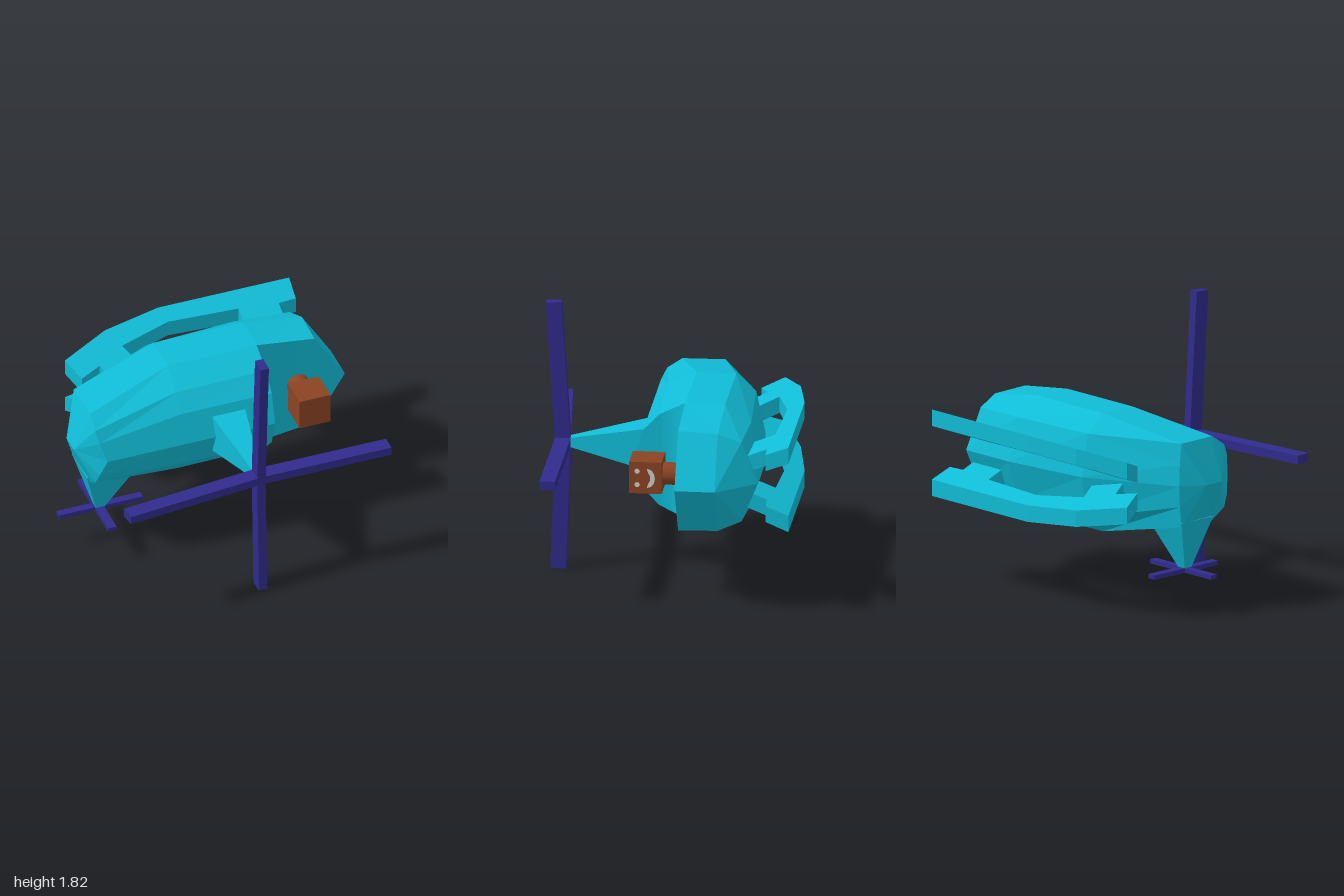
import * as THREE from 'three';

const MID = 0.87; // height of the symmetry plane

export function createModel() {
  const model = new THREE.Group();
  const material = (name, color) => {
    const m = new THREE.MeshStandardMaterial({ color });
    m.name = name;
    return m;
  };
  const teal = material('teal', 0x10bcd6);
  const navy = material('navy', 0x2f2b8c);
  const brown = material('brown', 0x8b4423);
  const pale = material('pale grey', 0xd2d0cc);

  const add = (name, geometry, mat, x = 0, y = 0, z = 0, parent = model) => {
    const mesh = new THREE.Mesh(geometry, mat);
    mesh.name = name;
    mesh.position.set(x, y, z);
    parent.add(mesh);
    return mesh;
  };

  // Flat-shaded skin between neighbouring cross-sections
  const loft = (rings, closed) => {
    const pos = [];
    const tri = (a, b, c) => {
      if (new THREE.Triangle(a, b, c).getArea() > 1e-6) pos.push(...a, ...b, ...c);
    };
    for (let i = 0; i < rings.length - 1; i++) {
      const n = rings[i].length;
      for (let j = 0; j < (closed ? n : n - 1); j++) {
        const k = (j + 1) % n;
        const a = rings[i][j], b = rings[i + 1][j], c = rings[i][k], d = rings[i + 1][k];
        tri(a, b, d);
        tri(a, d, c);
      }
    }
    const g = new THREE.BufferGeometry();
    g.setAttribute('position', new THREE.Float32BufferAttribute(pos, 3));
    g.computeVertexNormals();
    return g;
  };
  const point = ([x, y, z], s = 1) => new THREE.Vector3(x, MID + s * y, z);

  // Half sections [x, half height, z], running from the rotor side to the skid side
  const tail = [0.01, 0.01, 0.01, 0.01, -0.12, -0.12, -0.12].map((z) => [-0.94, 0, z]);
  const rear = [[-0.78, 0, 0.21], [-0.82, 0.13, 0.17], [-0.835, 0.21, 0.13], [-0.83, 0.28, 0.03],
    [-0.84, 0.28, -0.25], [-0.845, 0.14, -0.27], [-0.85, 0, -0.28]];
  const middle = [[-0.24, 0, 0.21], [-0.24, 0.2, 0.145], [-0.24, 0.31, 0.05], [-0.24, 0.395, -0.13],
    [-0.24, 0.395, -0.39], [-0.24, 0.28, -0.52], [-0.24, 0, -0.58]];
  const front = [[0.38, 0, 0.21], [0.38, 0.2, 0.145], [0.38, 0.31, 0.04], [0.38, 0.395, -0.13],
    [0.38, 0.395, -0.39], [0.38, 0.28, -0.56], [0.38, 0, -0.65]];
  const brow = [[0.78, 0.34, -0.13], [0.79, 0.33, -0.39], [0.76, 0.27, -0.54], [0.78, 0, -0.65]];
  const nose = [[0.99, 0, -0.13], [0.99, 0, -0.39], [0.99, 0, -0.39], [0.99, 0, -0.39]];

  const fullRing = (half) => [...half.map((p) => point(p)),
    ...half.slice(1, -1).reverse().map((p) => point(p, -1))];
  const openRing = (half) => [...half.map((p) => point(p)),
    ...half.slice(0, -1).reverse().map((p) => point(p, -1))];
  add('cabin', loft([tail, rear, middle, front].map(fullRing), true), teal);
  add('noseSection', loft([front.slice(3), brow, nose].map(openRing), false), teal);

  // Cockpit wall and floor share their hinge vertices for a soft blend
  const cockpitPoints = [point(front[3]), point(front[3], -1), point(front[2]), point(front[1]),
    point(front[0]), point(front[1], -1), point(front[2], -1),
    point(brow[0]), point(nose[0]), point(brow[0], -1)];
  const cockpit = new THREE.BufferGeometry().setFromPoints(cockpitPoints);
  cockpit.setIndex([1, 0, 2, 1, 2, 6, 6, 2, 3, 6, 3, 5, 5, 3, 4,
    1, 9, 7, 1, 7, 0, 9, 8, 7]);
  cockpit.computeVertexNormals();
  add('cockpit', cockpit, teal);

  // Skids with their struts: one slanted outline, mirrored across the middle
  const outline = new THREE.Shape([[-0.75, 0.65], [-0.69, 0.5], [-0.545, 0.56], [-0.49, 0.43],
    [-0.29, 0.52], [-0.35, 0.66], [0, 0.75], [0.48, 0.73], [0.48, 0.57], [0.75, 0.57],
    [0.75, 0.705], [0.87, 0.71], [0.88, 0.86], [-0.03, 0.86], [-0.42, 0.79]]
    .map(([x, d]) => new THREE.Vector2(x, d)));
  for (const side of [1, -1]) {
    const g = new THREE.ExtrudeGeometry(outline, { depth: 0.11, bevelEnabled: false });
    const p = g.attributes.position;
    const v = new THREE.Vector3(), w = new THREE.Vector3();
    for (let i = 0; i < p.count; i++) {
      v.fromBufferAttribute(p, i);
      p.setXYZ(i, v.x, MID + side * (0.175 - 0.4 * (0.85 - v.y) + v.z), -v.y);
    }
    // Keep the mirrored faces pointing outward
    if (side < 0) for (let i = 0; i < p.count; i += 3) {
      v.fromBufferAttribute(p, i + 1);
      w.fromBufferAttribute(p, i + 2);
      p.setXYZ(i + 1, ...w);
      p.setXYZ(i + 2, ...v);
    }
    g.computeVertexNormals();
    add(side > 0 ? 'upperSkid' : 'lowerSkid', g, teal);
  }

  // Box tapered along one axis between two rectangles (centre, half size)
  const frustum = (axis, low, high) => {
    const g = new THREE.BoxGeometry(2, 2, 2);
    const p = g.attributes.position;
    for (let i = 0; i < p.count; i++) {
      const c = [p.getX(i), p.getY(i), p.getZ(i)];
      const [centre, half] = c[axis] < 0 ? low : high;
      p.setXYZ(i, ...c.map((s, k) => centre[k] + s * half[k]));
    }
    g.computeVertexNormals();
    return g;
  };
  add('mast', frustum(2, [[0.075, MID, 0.13], [0.12, 0.145, 0]],
    [[0.08, MID, 0.66], [0.028, 0.03, 0]]), teal);
  add('tailFin', frustum(1, [[-0.72, 0.275, -0.11], [0.03, 0, 0.028]],
    [[-0.675, 0.62, -0.12], [0.175, 0, 0.14]]), teal);

  // Main rotor: four blades, some bent forward [angle, tilt, length]
  const rotor = new THREE.Group();
  rotor.name = 'mainRotor';
  rotor.position.set(0.08, MID, 0.7);
  model.add(rotor);
  [[0, 0, 0.9], [0.5, 0.063, 0.957], [1, 0.103, 0.95], [1.5, 0.035, 0.865]].forEach(([turn, tilt, length]) => {
    const arm = new THREE.Group();
    arm.name = 'bladeArm';
    arm.rotation.z = turn * Math.PI;
    rotor.add(arm);
    const blade = new THREE.BoxGeometry(length, 0.058, 0.102).translate(length / 2, 0, 0);
    add('blade', blade, navy, 0, 0, 0, arm).rotation.y = -tilt;
  });
  add('rotorHub', new THREE.BoxGeometry(0.06, 0.062, 0.104), navy, 0, 0, 0, rotor);

  // Tail rotor
  add('tailBladeAcross', new THREE.BoxGeometry(0.578, 0.028, 0.052), navy, -0.712, 0.266, -0.115);
  add('tailBladeAlong', new THREE.BoxGeometry(0.058, 0.029, 0.56), navy, -0.725, 0.266, -0.127);

  // Pilot
  add('pilotHead', new THREE.BoxGeometry(0.215, 0.215, 0.212), brown, 0.663, 0.877, 0.085);
  add('pilotBody', new THREE.CylinderGeometry(0.073, 0.073, 0.18, 32).rotateX(Math.PI / 2),
    brown, 0.663, 0.877, -0.1);
  for (const y of [0.922, 0.83]) {
    add('eye', new THREE.CircleGeometry(0.018, 8).rotateY(Math.PI / 2), pale, 0.774, y, 0.138);
  }
  const smile = new THREE.Shape();
  smile.moveTo(-0.065, 0.06);
  smile.quadraticCurveTo(-0.012, 0.05, -0.012, 0);
  smile.quadraticCurveTo(-0.012, -0.05, -0.065, -0.06);
  smile.quadraticCurveTo(-0.04, 0, -0.065, 0.06);
  const grin = new THREE.Shape();
  grin.moveTo(-0.07, 0.065);
  grin.bezierCurveTo(0, 0.065, 0, -0.065, -0.07, -0.065);
  grin.lineTo(-0.06, -0.035);
  grin.quadraticCurveTo(-0.035, 0, -0.06, 0.035);
  add('smile', new THREE.ShapeGeometry(grin, 10).rotateY(Math.PI / 2), pale, 0.774, 0.875, 0.005);
  return model;
}
